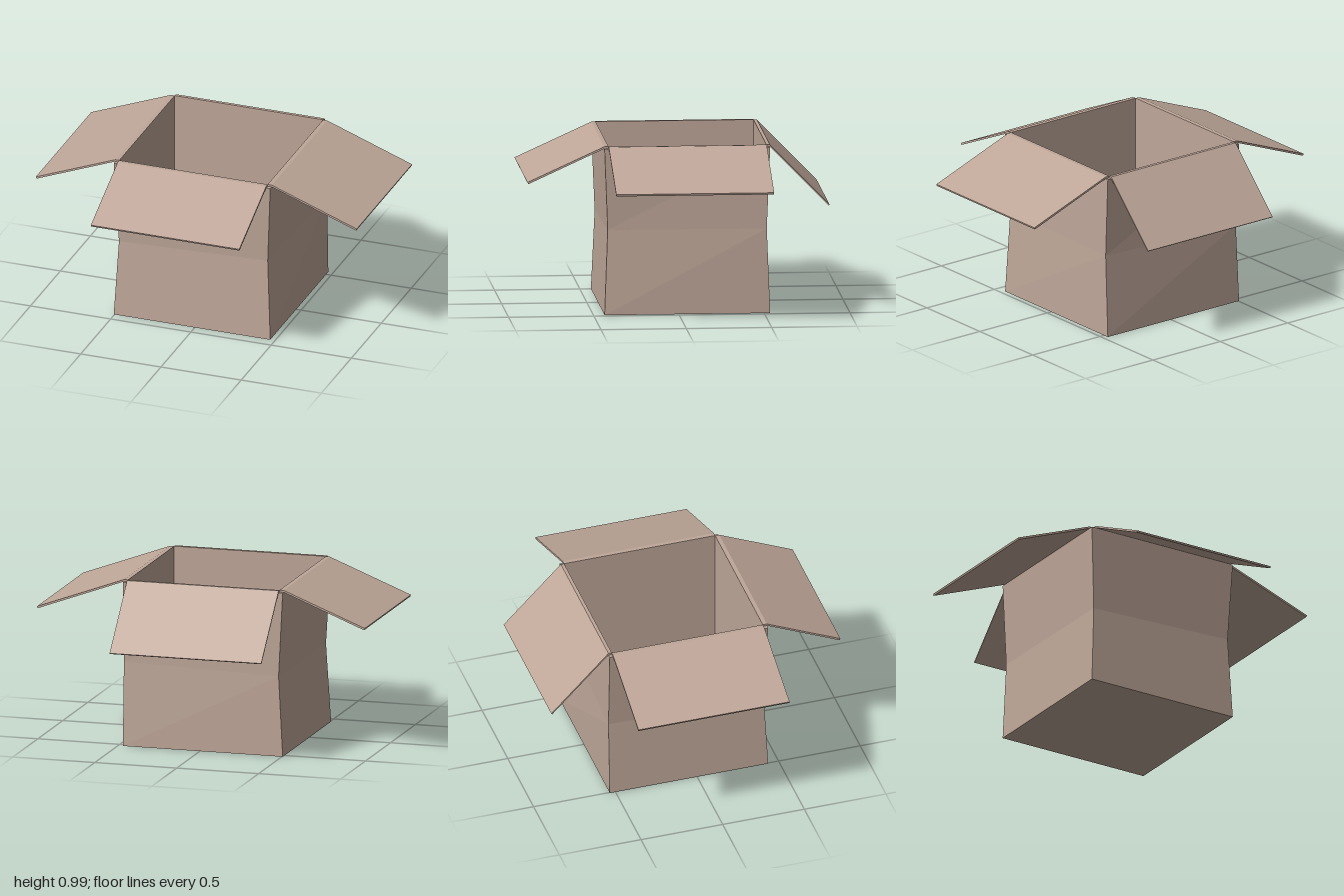
import * as THREE from 'three';

const material = new THREE.MeshStandardMaterial({ color: 0xbfa799, flatShading: true });
const RIM = 0.98, TOP = 0.992;

// Corners run counter-clockwise from above: front left edge, front right, back right, back left
const rect = (x0, x1, z0, z1, y) => [[x0, y, z1], [x1, y, z1], [x1, y, z0], [x0, y, z0]];

// Open box: outer wall with a slight crease at mid height, rim, straight inner wall and floor
function buildBox() {
  const rings = [
    rect(-0.505, 0.47, -0.535, 0.435, 0),
    [[-0.48, 0.47, 0.415], [0.447, 0.5, 0.415], [0.47, 0.5, -0.515], [-0.48, 0.48, -0.535]],
    rect(-0.505, 0.47, -0.535, 0.435, RIM),
    rect(-0.48, 0.445, -0.515, 0.41, RIM),
    rect(-0.48, 0.445, -0.515, 0.41, 0.02),
  ];
  const pos = [];
  const quad = (a, b, c, d) => pos.push(...a, ...b, ...c, ...a, ...c, ...d);
  for (let k = 0; k < rings.length - 1; k++) {
    for (let i = 0; i < 4; i++) {
      const j = (i + 1) % 4;
      quad(rings[k][i], rings[k][j], rings[k + 1][j], rings[k + 1][i]);
    }
  }
  quad(...rings[4]); // inner floor
  quad(...[...rings[0]].reverse()); // underside
  const geometry = new THREE.BufferGeometry();
  geometry.setAttribute('position', new THREE.Float32BufferAttribute(pos, 3));
  geometry.computeVertexNormals();
  return geometry;
}

// Flap: a strip lying on the rim, then a thin panel sloping down to its tip
function buildFlap(inner, outer, tip, tipY, thickness, length) {
  const run = tip - outer, drop = tipY - TOP, len = Math.hypot(run, drop);
  const nx = (drop / len) * thickness * Math.sign(run);
  const ny = (-Math.abs(run) / len) * thickness;
  const shape = new THREE.Shape([
    [inner, TOP], [outer, TOP], [tip, tipY],
    [tip + nx, tipY + ny], [outer, RIM], [inner, RIM],
  ].map(([x, y]) => new THREE.Vector2(x, y)));
  return new THREE.ExtrudeGeometry(shape, { depth: length, bevelEnabled: false });
}

export function createModel() {
  const group = new THREE.Group();
  const add = (name, geometry) => {
    const mesh = new THREE.Mesh(geometry, material);
    mesh.name = name;
    group.add(mesh);
  };

  add('openBox', buildBox());

  // Side flaps
  add('leftFlap', buildFlap(0.445, 0.47, 1.0, 0.797, 0.012, 0.925).translate(0, 0, -0.515));
  add('rightFlap', buildFlap(-0.48, -0.505, -1.0, 0.797, 0.012, 0.925).translate(0, 0, -0.515));

  // Front and back flaps, the back one hanging lower
  const turn = (g) => g.rotateY(-Math.PI / 2).translate(0.445, 0, 0);
  add('frontFlap', turn(buildFlap(0.41, 0.435, 0.885, 0.787, 0.012, 0.925)));
  add('backFlap', turn(buildFlap(-0.515, -0.535, -0.885, 0.633, 0.008, 0.925)));
  return group;
}
